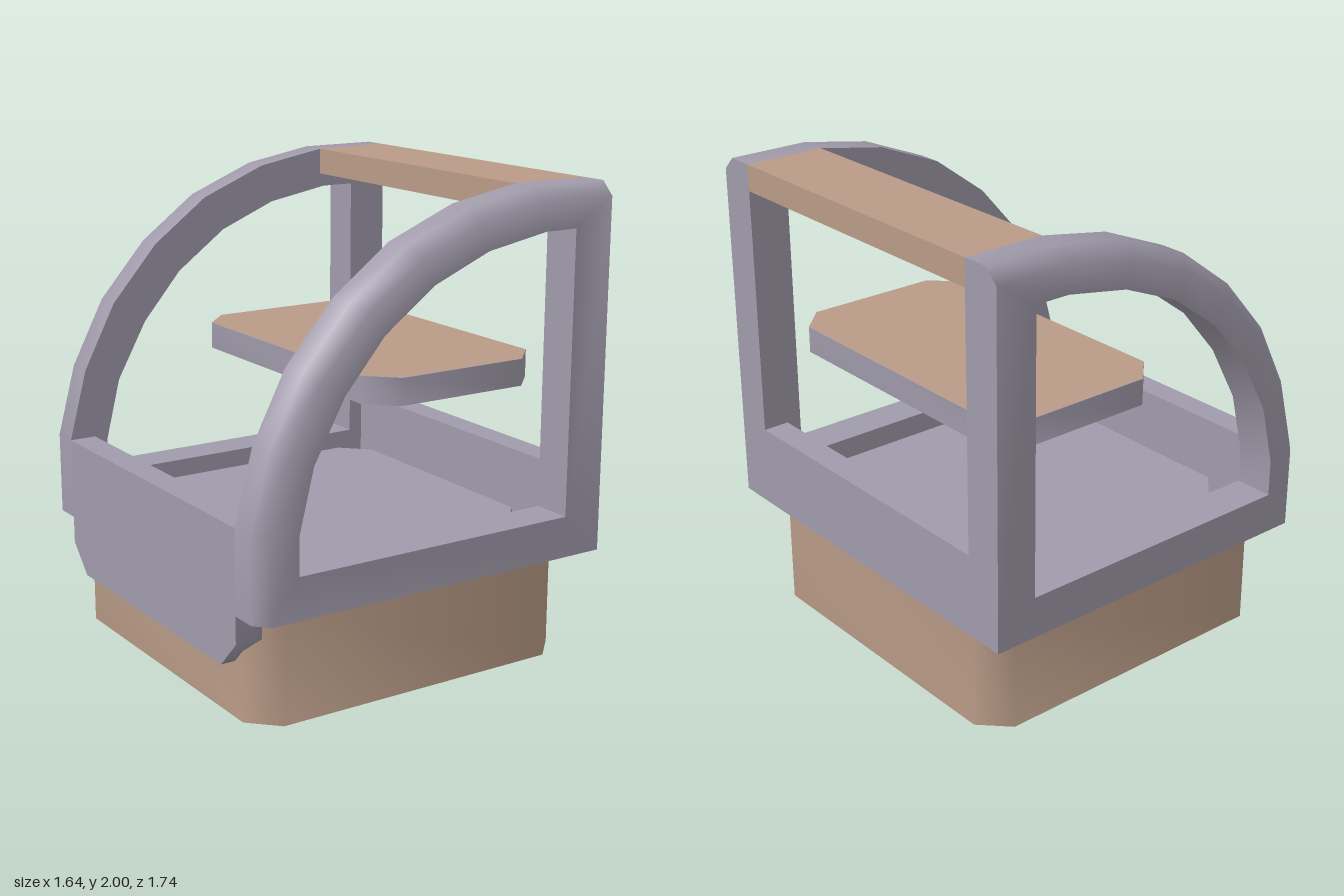
import * as THREE from 'three';
import { toCreasedNormals } from 'three/addons/utils/BufferGeometryUtils.js';

const CREASE = THREE.MathUtils.degToRad(50);
const toShape = (pts) => new THREE.Shape(pts.map(([x, y]) => new THREE.Vector2(x, y)));

// Rectangle with cut corners, centred on y = 0
const octagon = (x0, x1, h, c) => toShape([
  [x0, -h + c], [x0 + c, -h], [x1 - c, -h], [x1, -h + c],
  [x1, h - c], [x1 - c, h], [x0 + c, h], [x0, h - c],
]);

// Horizontal slab standing on y0
function slab(shape, y0, height) {
  const geo = new THREE.ExtrudeGeometry(shape, { depth: height, bevelEnabled: false });
  geo.rotateX(-Math.PI / 2).translate(0, y0, 0);
  return toCreasedNormals(geo, CREASE);
}

// Matching outlines of the side frame and its window, from the lower left clockwise
const OUTER = [
  [-0.82, 0.47], [-0.82, 0.82], [-0.74, 1.12], [-0.595, 1.4], [-0.385, 1.64],
  [-0.135, 1.825], [0.16, 1.945], [0.47, 2], [0.82, 2], [0.82, 0.47],
];
const INNER = [
  [-0.645, 0.645], [-0.645, 0.8], [-0.58, 1.06], [-0.445, 1.305], [-0.27, 1.51],
  [-0.045, 1.675], [0.21, 1.78], [0.49, 1.83], [0.64, 1.83], [0.64, 0.645],
];

// Outer point pulled inward, square to the arch, to form the bevel
function inset(k, bevel) {
  const [x, y] = OUTER[k];
  if (k === 0) return [x + bevel, y];
  if (k === 8) return [x, y - bevel];
  if (k === 9) return [x, y];
  const a = OUTER[k - 1], b = OUTER[k + 1];
  const dx = b[0] - a[0], dy = b[1] - a[1], len = Math.hypot(dx, dy);
  return [x + (dy / len) * bevel, y - (dx / len) * bevel];
}

// Arched side frame: a closed ring of cross-sections; side is +1 (front) or -1 (rear)
function sideFrame(side) {
  const zIn = 0.7, zOut = 0.872, bevel = 0.056;
  const positions = [], indices = [];
  OUTER.forEach((o, k) => {
    const i = INNER[k];
    const section = [
      [...i, zIn], [...o, zIn], [...o, zOut - bevel], [...inset(k, bevel), zOut], [...i, zOut],
    ];
    if (side < 0) section.reverse();
    section.forEach(([x, y, z]) => positions.push(x, y, z * side));
  });
  const n = OUTER.length, m = 5;
  for (let k = 0; k < n; k++) {
    for (let j = 0; j < m; j++) {
      const k2 = (k + 1) % n, j2 = (j + 1) % m;
      const a = k * m + j, b = k * m + j2, c = k2 * m + j2, d = k2 * m + j;
      indices.push(a, b, c, a, c, d);
    }
  }
  const geo = new THREE.BufferGeometry();
  geo.setAttribute('position', new THREE.Float32BufferAttribute(positions, 3));
  geo.setIndex(indices);
  return toCreasedNormals(geo, CREASE);
}

export function createModel() {
  const group = new THREE.Group();
  const grey = new THREE.MeshStandardMaterial({ color: 0xa19bab });
  grey.name = 'grey';
  const brown = new THREE.MeshStandardMaterial({ color: 0xb99b87 });
  brown.name = 'brown';

  const add = (name, geo, mat) => {
    const mesh = new THREE.Mesh(geo, mat);
    mesh.name = name;
    group.add(mesh);
  };
  const box = (name, mat, x0, x1, y0, y1, hz) => add(name,
    new THREE.BoxGeometry(x1 - x0, y1 - y0, 2 * hz).translate((x0 + x1) / 2, (y0 + y1) / 2, 0), mat);

  // Base and raised floor panel
  add('base', slab(octagon(-0.758, 0.758, 0.757, 0.115), 0, 0.47), brown);
  add('floorPanel', slab(octagon(-0.647, 0.647, 0.637, 0.115), 0.47, 0.118), grey);

  // Side frames
  add('frontFrame', sideFrame(1), grey);
  add('rearFrame', sideFrame(-1), grey);

  // End wall with a lip hanging over the base
  const lip = toShape([
    [-0.7, 0.82], [-0.7, 0.355], [-0.585, 0.235], [0.585, 0.235], [0.7, 0.355], [0.7, 0.82],
  ]);
  const wall = new THREE.ExtrudeGeometry(lip, { depth: 0.115, bevelEnabled: false });
  wall.rotateY(Math.PI / 2).translate(-0.82, 0, 0);
  add('lippedWall', toCreasedNormals(wall, CREASE), grey);

  // Opposite wall and top board
  box('lowWall', grey, 0.705, 0.82, 0.47, 0.82, 0.7);
  box('topBoard', brown, 0.468, 0.82, 1.888, 2, 0.7);

  // Shelf with a brown top face
  const shelf = octagon(-0.177, 0.647, 0.698, 0.117);
  add('shelf', slab(shelf, 1.175, 0.112), grey);
  add('shelfTop', new THREE.ShapeGeometry(shelf).rotateX(-Math.PI / 2).translate(0, 1.289, 0), brown);

  return group;
}
